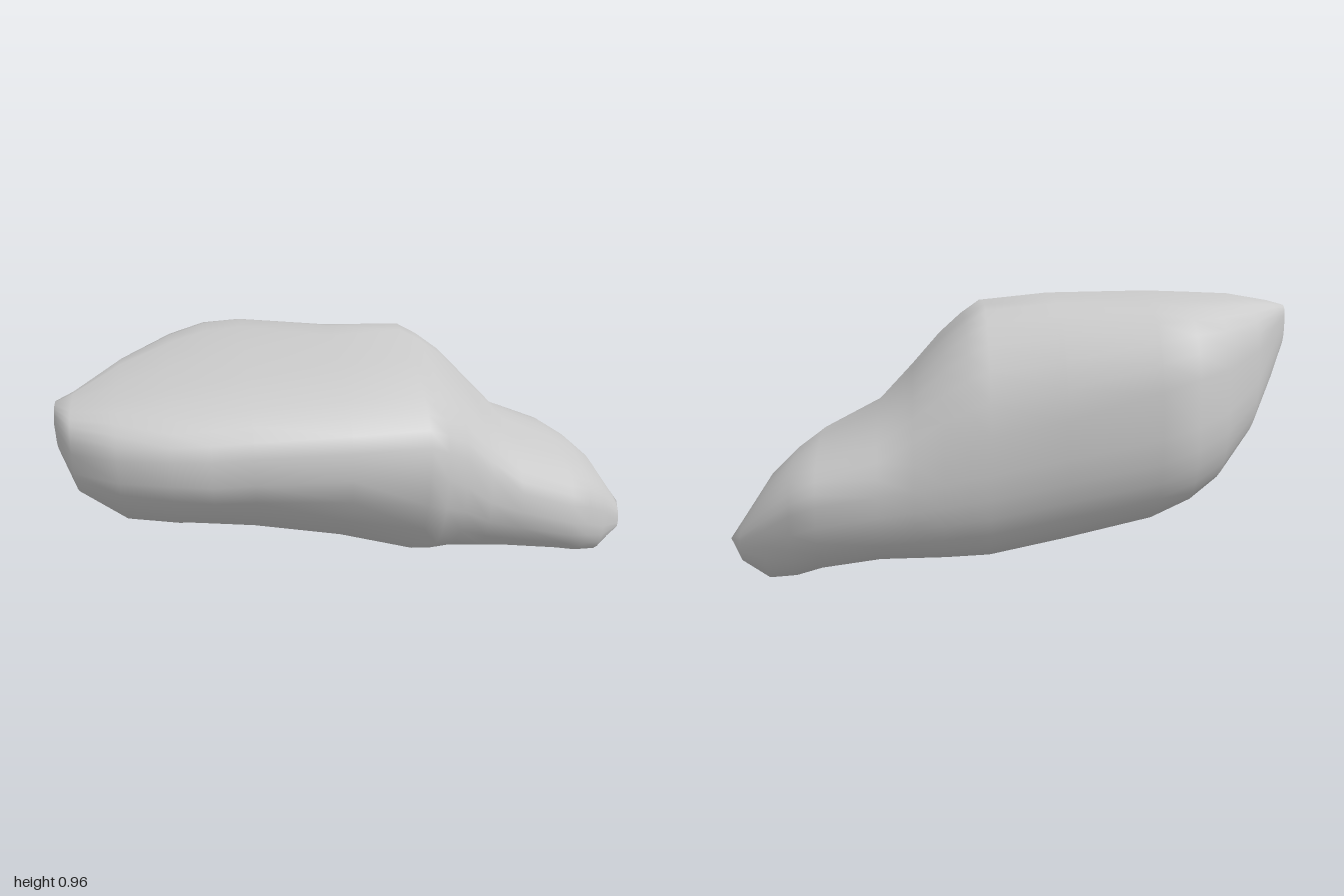
import * as THREE from 'three';

// Stations along the long axis: [u, vMin, vMax, bottom, top, height of -v side, height of +v side, v of bottom, v of top]
const STATIONS = [
  [-0.955, 0.21, 0.32, 0.74, 0.90, 0.84, 0.80, 0.26, 0.26],
  [-0.90, 0.13, 0.44, 0.60, 0.915, 0.78, 0.75, 0.27, 0.28],
  [-0.76, -0.14, 0.52, 0.43, 0.94, 0.66, 0.75, 0.14, 0.22],
  [-0.60, -0.36, 0.56, 0.32, 0.95, 0.60, 0.75, -0.08, 0.14],
  [-0.48, -0.455, 0.57, 0.27, 0.957, 0.57, 0.74, -0.20, 0.09],
  [-0.35, -0.50, 0.57, 0.225, 0.96, 0.54, 0.74, -0.24, 0.05],
  [-0.05, -0.45, 0.565, 0.155, 0.96, 0.47, 0.73, -0.24, -0.02],
  [0.20, -0.44, 0.525, 0.10, 0.94, 0.42, 0.71, -0.22, -0.08],
  [0.27, -0.435, 0.48, 0.095, 0.895, 0.41, 0.66, -0.21, -0.09],
  [0.35, -0.43, 0.405, 0.09, 0.83, 0.39, 0.58, -0.20, -0.09],
  [0.45, -0.42, 0.355, 0.085, 0.72, 0.37, 0.48, -0.18, -0.08],
  [0.57, -0.41, 0.32, 0.08, 0.59, 0.35, 0.41, -0.16, -0.05],
  [0.77, -0.40, 0.275, 0.05, 0.49, 0.32, 0.32, -0.14, -0.05],
  [0.86, -0.35, 0.20, 0.015, 0.43, 0.28, 0.26, -0.11, -0.07],
  [0.95, -0.30, 0.12, 0.0, 0.345, 0.22, 0.19, -0.08, -0.09],
  [1.04, -0.23, 0.03, 0.07, 0.21, 0.15, 0.14, -0.11, -0.11],
];
const SIDES = 28;
const ANGLE = 0.555; // heading of the long axis in the ground plane
const { smoothstep } = THREE.MathUtils;

function toWorld(u, y, v) {
  const c = Math.cos(ANGLE), s = Math.sin(ANGLE);
  return [c * u - s * v, y, s * u + c * v];
}

// Section of four quarter superellipses: squarer above, tapering to a soft keel below
function sectionPoint([u, vMin, vMax, yMin, yMax, ySideA, ySideB, vBot, vTop], t) {
  const c = Math.cos(t), s = Math.sin(t);
  const topPower = c > 0 ? 0.62 : 0.6 + 0.35 * smoothstep(u, -0.5, 0.05);
  const bottomPower = c > 0 ? 1.27 - 0.25 * smoothstep(u, -0.2, 0.3) : 0.9;
  const power = s > 0 ? topPower : bottomPower;
  const a = Math.pow(Math.abs(c), power), b = Math.pow(Math.abs(s), power);
  const vMid = s > 0 ? vTop : vBot;
  const yMid = c > 0 ? ySideB : ySideA;
  const v = vMid + ((c > 0 ? vMax : vMin) - vMid) * a;
  const y = yMid + ((s > 0 ? yMax : yMin) - yMid) * b;
  return toWorld(u, y, v);
}

// Loft the sections and close both ends with slightly domed fans
function boulderGeometry() {
  const pos = [], index = [];
  for (const st of STATIONS)
    for (let j = 0; j < SIDES; j++) pos.push(...sectionPoint(st, (j / SIDES) * Math.PI * 2));
  const last = STATIONS.length - 1;
  for (let i = 0; i < last; i++)
    for (let j = 0; j < SIDES; j++) {
      const k = (j + 1) % SIDES;
      const a = i * SIDES + j, b = i * SIDES + k;
      index.push(a, a + SIDES, b, b, a + SIDES, b + SIDES);
    }
  const start = pos.length / 3, end = start + 1;
  pos.push(...toWorld(-0.965, 0.83, 0.26), ...toWorld(1.085, 0.145, -0.12));
  for (let j = 0; j < SIDES; j++) {
    const k = (j + 1) % SIDES;
    index.push(start, j, k, end, last * SIDES + k, last * SIDES + j);
  }
  const geo = new THREE.BufferGeometry();
  geo.setAttribute('position', new THREE.Float32BufferAttribute(pos, 3));
  geo.setIndex(index);
  geo.computeVertexNormals();
  return geo;
}

export function createModel() {
  const group = new THREE.Group();
  group.name = 'rock';
  const boulder = new THREE.Mesh(boulderGeometry(), new THREE.MeshStandardMaterial({ color: 0xcccccc }));
  boulder.name = 'boulder';
  group.add(boulder);
  return group;
}
